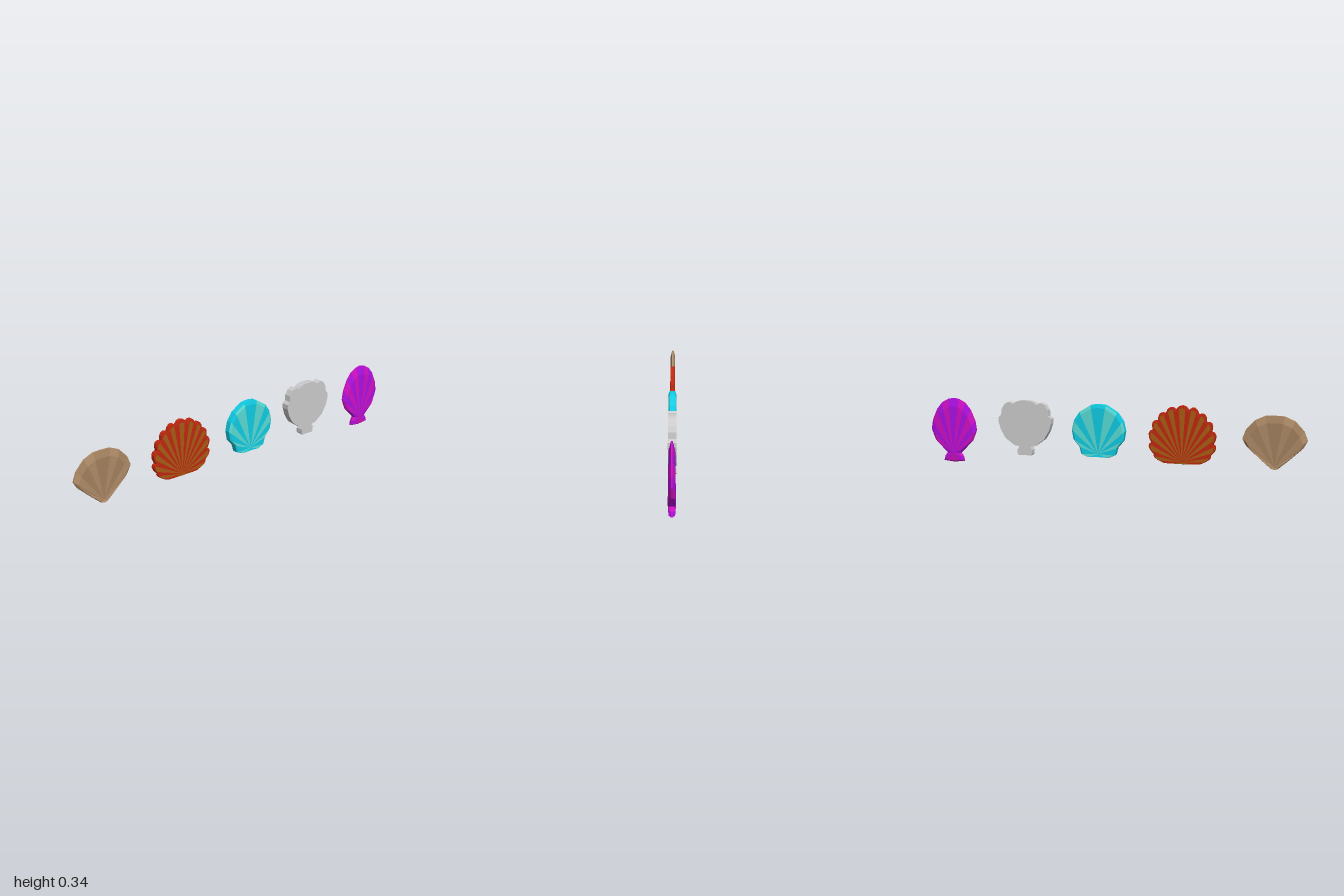
import * as THREE from 'three';

// Mirror a half outline (bottom to top, right side) into a closed counterclockwise loop
function mirror(half) {
  const left = half.filter(p => p[0] > 0.0001).reverse().map(([x, y]) => [-x, y]);
  return [...half, ...left];
}

// Replace every step between notches with a rounded lobe
function scallop(notches, centre, bulge, steps = 4) {
  const out = [];
  notches.forEach(([x0, y0], i) => {
    const [x1, y1] = notches[(i + 1) % notches.length];
    for (let k = 0; k < steps; k++) {
      const t = k / steps;
      const x = x0 + (x1 - x0) * t, y = y0 + (y1 - y0) * t;
      const r = Math.hypot(x, y - centre) || 1;
      const b = bulge * 4 * t * (1 - t);
      out.push([x + x / r * b, y + (y - centre) / r * b]);
    }
  });
  return out;
}

function paint(color) {
  return new THREE.MeshStandardMaterial({ color, flatShading: true });
}

// Ribbed shell: stripes fan out from a hinge, bevel down to a rim, same on both faces
function fanShell({ name, z, outline, hinge, hingeT, innerT, edgeT, scale, colors, stripe, rim, bevelRim }) {
  const buckets = colors.map(() => []);
  const n = outline.length;
  const inner = outline.map(([x, y]) => [x * scale, hinge + (y - hinge) * scale]);
  const tri = (c, ...pts) => pts.forEach(p => buckets[c].push(...p));
  const quad = (c, a, b, d, e) => { tri(c, a, b, d); tri(c, a, d, e); };
  for (let i = 0; i < n; i++) {
    const j = (i + 1) % n;
    const c = stripe(i, n);
    const bevel = bevelRim ? rim : c;
    for (const s of [1, -1]) {
      const [a, b] = s > 0 ? [i, j] : [j, i];
      tri(c, [0, hinge, s * hingeT], [...inner[a], s * innerT], [...inner[b], s * innerT]);
      quad(bevel, [...inner[a], s * innerT], [...outline[a], s * edgeT],
        [...outline[b], s * edgeT], [...inner[b], s * innerT]);
    }
    quad(rim, [...outline[i], edgeT], [...outline[i], -edgeT],
      [...outline[j], -edgeT], [...outline[j], edgeT]);
  }
  const shell = new THREE.Group();
  shell.name = name;
  buckets.forEach((data, c) => {
    if (!data.length) return;
    const g = new THREE.BufferGeometry();
    g.setAttribute('position', new THREE.Float32BufferAttribute(data, 3));
    g.computeVertexNormals();
    const mesh = new THREE.Mesh(g, paint(colors[c]));
    mesh.name = c === rim ? name + 'RimAndRibs' : name + 'Stripes';
    shell.add(mesh);
  });
  shell.rotation.y = Math.PI / 2;
  shell.position.z = z;
  return shell;
}

// Alternate colours symmetrically about the middle
const alternate = (i, n) => Math.min(i, n - 1 - i) % 2;

export function createModel() {
  const model = new THREE.Group();
  model.name = 'seashells';

  // Wide tan clam
  model.add(fanShell({
    name: 'tanShell', z: 0.838, hinge: 0.05, hingeT: 0.008, innerT: 0.013, edgeT: 0.004, scale: 0.86,
    outline: mirror([[0, 0.036], [0.018, 0.042], [0.075, 0.09], [0.143, 0.152], [0.163, 0.188],
      [0.145, 0.235], [0.1, 0.283], [0.048, 0.306], [0, 0.308]]),
    colors: [0xb08c68, 0xa58260], stripe: alternate, rim: 0,
  }));

  // Scalloped red and orange fan
  const notches = mirror([[0.09, 0.047], [0.145, 0.09], [0.16, 0.15], [0.152, 0.215],
    [0.125, 0.262], [0.085, 0.3], [0.033, 0.322]]);
  model.add(fanShell({
    name: 'scallopShell', z: 0.369, hinge: 0.055, hingeT: 0.0125, innerT: 0.0125, edgeT: 0.011, scale: 0.95,
    outline: scallop(notches, 0.05, 0.022).map(([x, y]) => [x, Math.max(y, 0.045)]),
    colors: [0xc02810, 0xa85c12],
    stripe: i => (i % 4 === 1 || i % 4 === 2 ? 1 : 0), rim: 0, bevelRim: true,
  }));

  // Round turquoise shell with small ears
  model.add(fanShell({
    name: 'turquoiseShell', z: -0.07, hinge: 0.078, hingeT: 0.018, innerT: 0.02, edgeT: 0.015, scale: 0.93,
    outline: mirror([[0, 0.062], [0.055, 0.06], [0.09, 0.075], [0.101, 0.113], [0.133, 0.15],
      [0.142, 0.2], [0.13, 0.25], [0.1, 0.293], [0.04, 0.33], [0, 0.335]]),
    colors: [0x10cce4, 0x58dcd6], stripe: alternate, rim: 0,
  }));

  // Plain flat grey shell with lobed top and a foot
  const half = [[0.034, 0.055], [0.04, 0.063], [0.04, 0.085], [0.03, 0.1], [0.055, 0.105],
    [0.105, 0.14], [0.132, 0.185], [0.144, 0.225], [0.144, 0.25], [0.13, 0.265], [0.127, 0.295],
    [0.11, 0.322], [0.088, 0.333], [0.064, 0.322], [0.05, 0.334], [0.025, 0.341], [0, 0.342]];
  const shape = new THREE.Shape(mirror(half).map(([x, y]) => new THREE.Vector2(x, y)));
  const flat = new THREE.ExtrudeGeometry(shape, { depth: 0.04, bevelEnabled: false });
  flat.translate(0, 0, -0.02);
  const grey = new THREE.Mesh(flat, paint(0xcccccc));
  grey.name = 'greyShell';
  grey.rotation.y = Math.PI / 2;
  grey.position.z = -0.468;
  model.add(grey);

  // Tall purple shell with a wedge foot
  model.add(fanShell({
    name: 'purpleShell', z: -0.872, hinge: 0.047, hingeT: 0.019, innerT: 0.015, edgeT: 0.004, scale: 0.85,
    outline: mirror([[0, 0], [0.058, 0.006], [0.052, 0.03], [0.038, 0.05], [0.105, 0.115],
      [0.128, 0.172], [0.12, 0.222], [0.095, 0.28], [0.065, 0.317], [0.03, 0.336], [0, 0.341]]),
    colors: [0xd010c4, 0xac10e0], stripe: alternate, rim: 0,
  }));

  return model;
}
